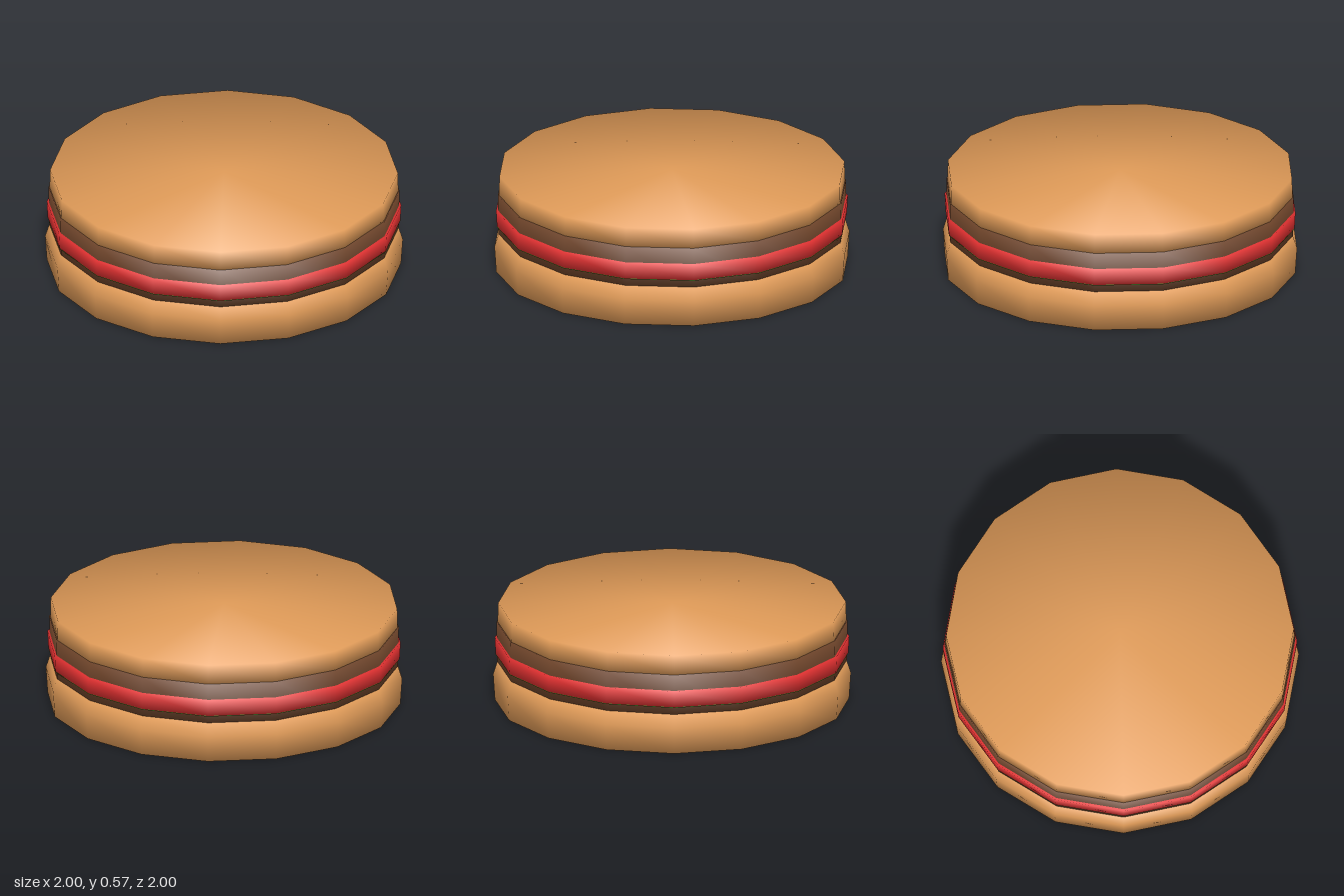
import * as THREE from 'three';

const SIDES = 16;

// Closed 16-sided disc from a rim profile [radius, height] (bottom to top),
// with normals rounded over the rim so each layer shades like a soft pillow.
function layer(name, color, rim) {
  const pts = [[0, rim[0][1]], ...rim, [0, rim[rim.length - 1][1]]]
    .map(([r, y]) => new THREE.Vector2(r, y));
  const geo = new THREE.LatheGeometry(pts, SIDES);
  const edges = pts.slice(1).map((p, i) =>
    new THREE.Vector2(p.y - pts[i].y, pts[i].x - p.x).normalize());
  const normals = pts.map((p, j) => {
    const n = new THREE.Vector2();
    if (j > 0) n.add(edges[j - 1]);
    if (j < edges.length) n.add(edges[j]);
    return n.normalize();
  });
  for (let i = 0; i <= SIDES; i++) {
    const a = (i / SIDES) * Math.PI * 2;
    normals.forEach((n, j) => geo.attributes.normal.setXYZ(
      i * pts.length + j, n.x * Math.sin(a), n.y, n.x * Math.cos(a)));
  }
  const mesh = new THREE.Mesh(geo, new THREE.MeshStandardMaterial({ color }));
  mesh.name = name;
  return mesh;
}

export function createModel() {
  const group = new THREE.Group();
  group.name = 'burger';
  const bun = 0xe09b58;
  group.add(
    layer('bottomBun', bun, [[0.99, 0], [1, 0.15], [0.975, 0.228]]),
    layer('patty', 0x6e442a, [[0.977, 0.226], [0.981, 0.457]]),
    layer('lettuce', 0x5fa82a, [[0.986, 0.267], [0.986, 0.28]]),
    layer('tomato', 0xe03030, [[0.986, 0.271], [0.991, 0.365]]),
    layer('topBun', bun, [[0.975, 0.455], [0.972, 0.568]]),
  );
  return group;
}
